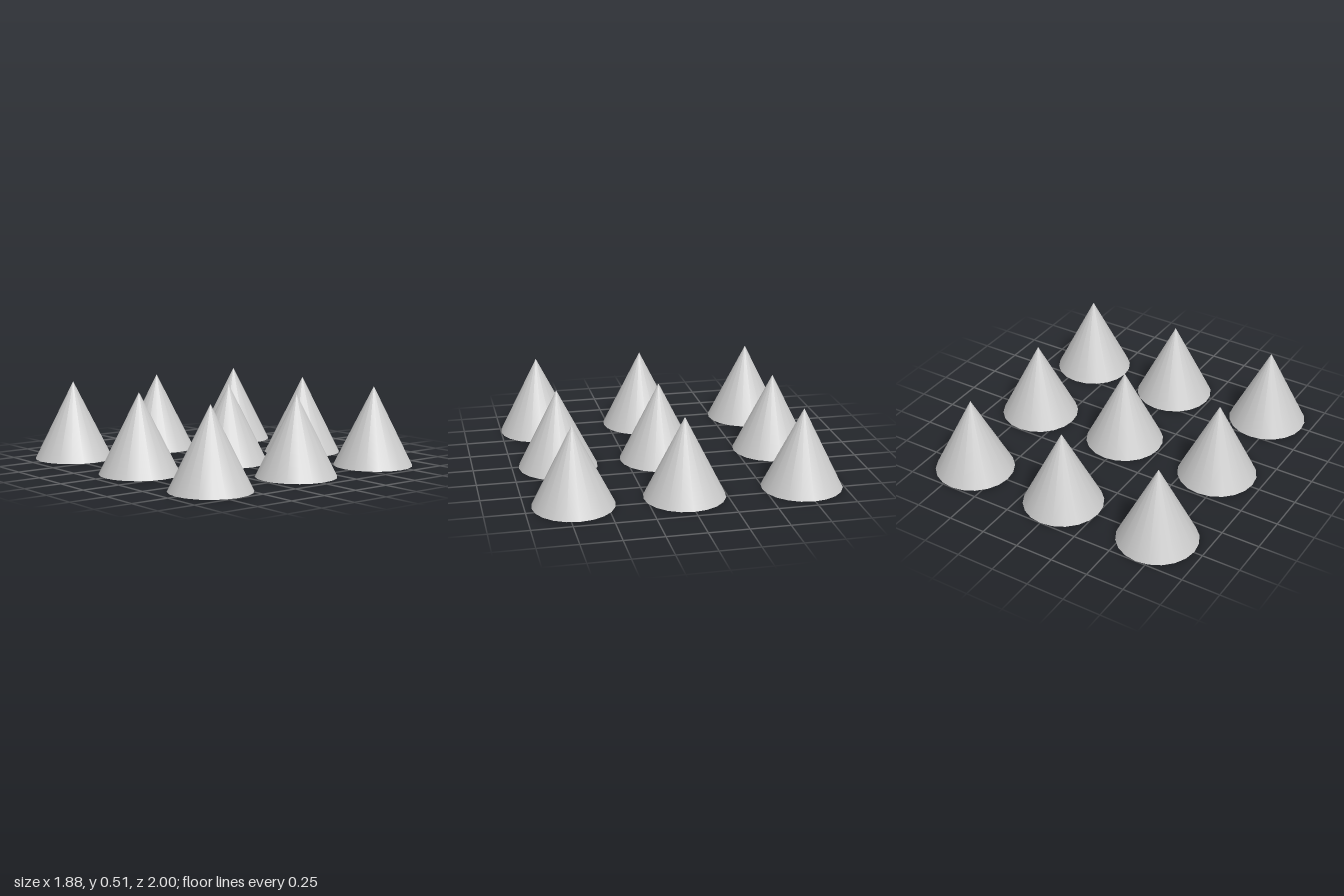
import * as THREE from 'three';

const RADIUS = 0.257;
const HEIGHT = 0.515;

// Cone centres as [x, z], row by row from back to front
const ROWS = {
  back: [[-0.685, -0.743], [-0.002, -0.743], [0.685, -0.743]],
  middle: [[-0.685, 0.02], [0.02, 0.032], [0.685, 0.01]],
  front: [[-0.685, 0.743], [0.02, 0.7], [0.685, 0.7]],
};
const COLUMNS = ['Right', 'Centre', 'Left'];

export function createModel() {
  const model = new THREE.Group();
  model.name = 'coneField';
  const material = new THREE.MeshStandardMaterial({ color: 0xcccccc });

  // One closed, smooth cone standing on the ground, shared by all nine
  const geometry = new THREE.ConeGeometry(RADIUS, HEIGHT, 20);
  geometry.translate(0, HEIGHT / 2, 0);

  // Slightly uneven grid of three by three cones
  for (const [row, centres] of Object.entries(ROWS)) {
    centres.forEach(([x, z], i) => {
      const cone = new THREE.Mesh(geometry, material);
      cone.name = `${row}${COLUMNS[i]}Cone`;
      cone.position.set(x, 0, z);
      model.add(cone);
    });
  }
  return model;
}
